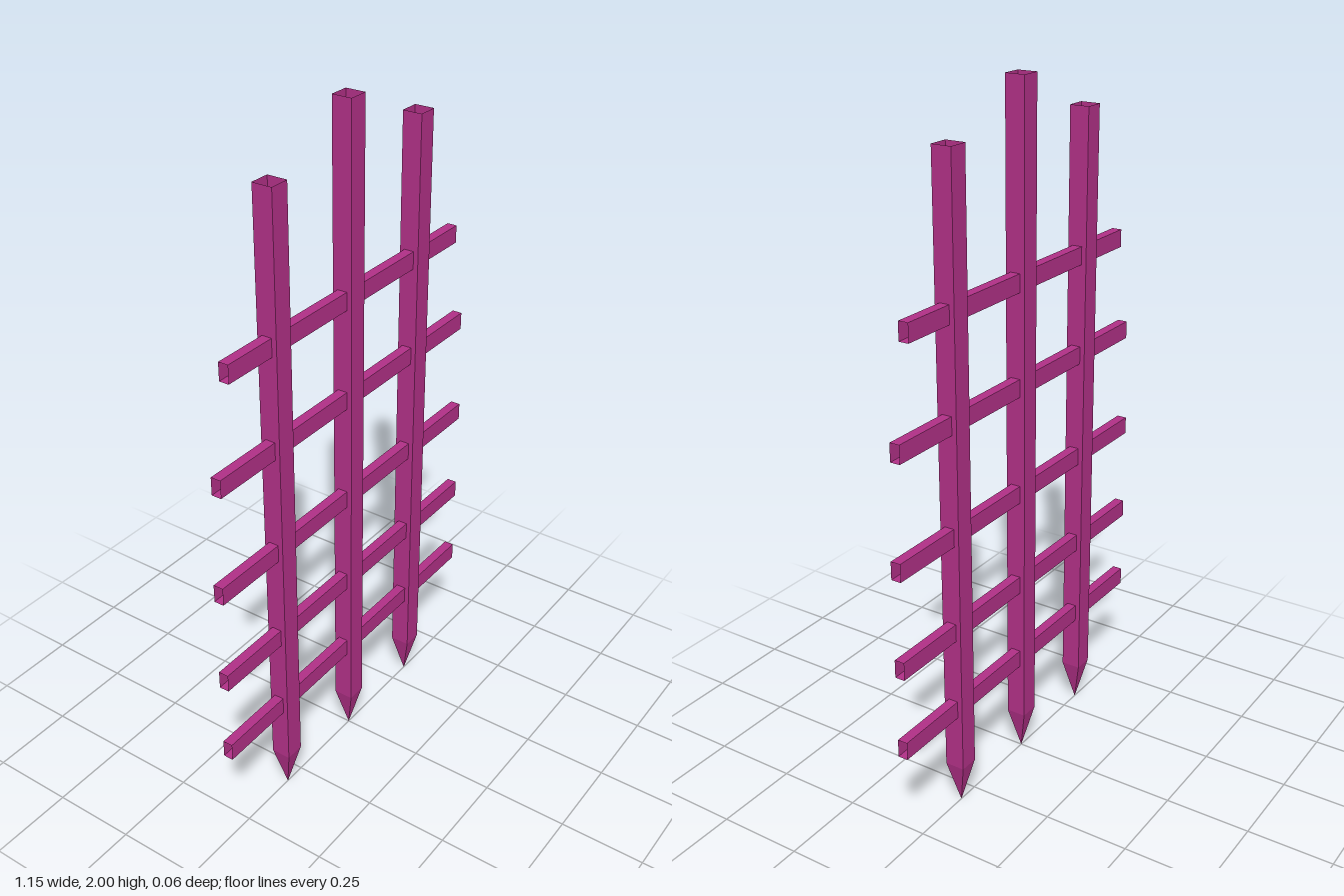
import * as THREE from 'three';

const paint = new THREE.MeshStandardMaterial({ color: 0xb03086, side: THREE.DoubleSide, flatShading: true });
paint.name = 'magenta paint';

// Open four-sided tube standing on the y axis; a bottom scale of 0 makes a point
function squareTube(width, length, depth, bottom = 1) {
  const r = Math.SQRT1_2;
  return new THREE.CylinderGeometry(r, r * bottom, length, 4, 1, true)
    .rotateY(Math.PI / 4)
    .scale(width, 1, depth);
}

function addMesh(parent, name, geometry) {
  const mesh = new THREE.Mesh(geometry, paint);
  mesh.name = name;
  parent.add(mesh);
  return mesh;
}

export function createModel() {
  const model = new THREE.Group();
  model.name = 'trellis';

  // Hollow posts, open at the top, with pointed ground stakes
  const postWidth = 0.058, tipHeight = 0.13;
  const posts = [['rightPost', -0.315, 1.877], ['middlePost', 0, 2], ['leftPost', 0.315, 1.877]];
  for (const [name, x, top] of posts) {
    const post = new THREE.Group();
    post.name = name;
    post.position.x = x;
    const length = top - tipHeight;
    addMesh(post, 'shaft', squareTube(postWidth, length, postWidth)).position.y = tipHeight + length / 2;
    addMesh(post, 'stakeTip', squareTube(postWidth, tipHeight, postWidth, 0)).position.y = tipHeight / 2;
    model.add(post);
  }

  // Hollow crossbars, open at both ends, running through the posts: [height, length]
  const bars = [[0.323, 1.148], [0.568, 1.148], [0.854, 1.148], [1.171, 1.12], [1.465, 1.02]];
  bars.forEach(([y, length], i) => {
    const bar = squareTube(0.052, length, 0.029).rotateZ(Math.PI / 2);
    addMesh(model, `crossbar${i + 1}`, bar).position.y = y;
  });

  return model;
}
